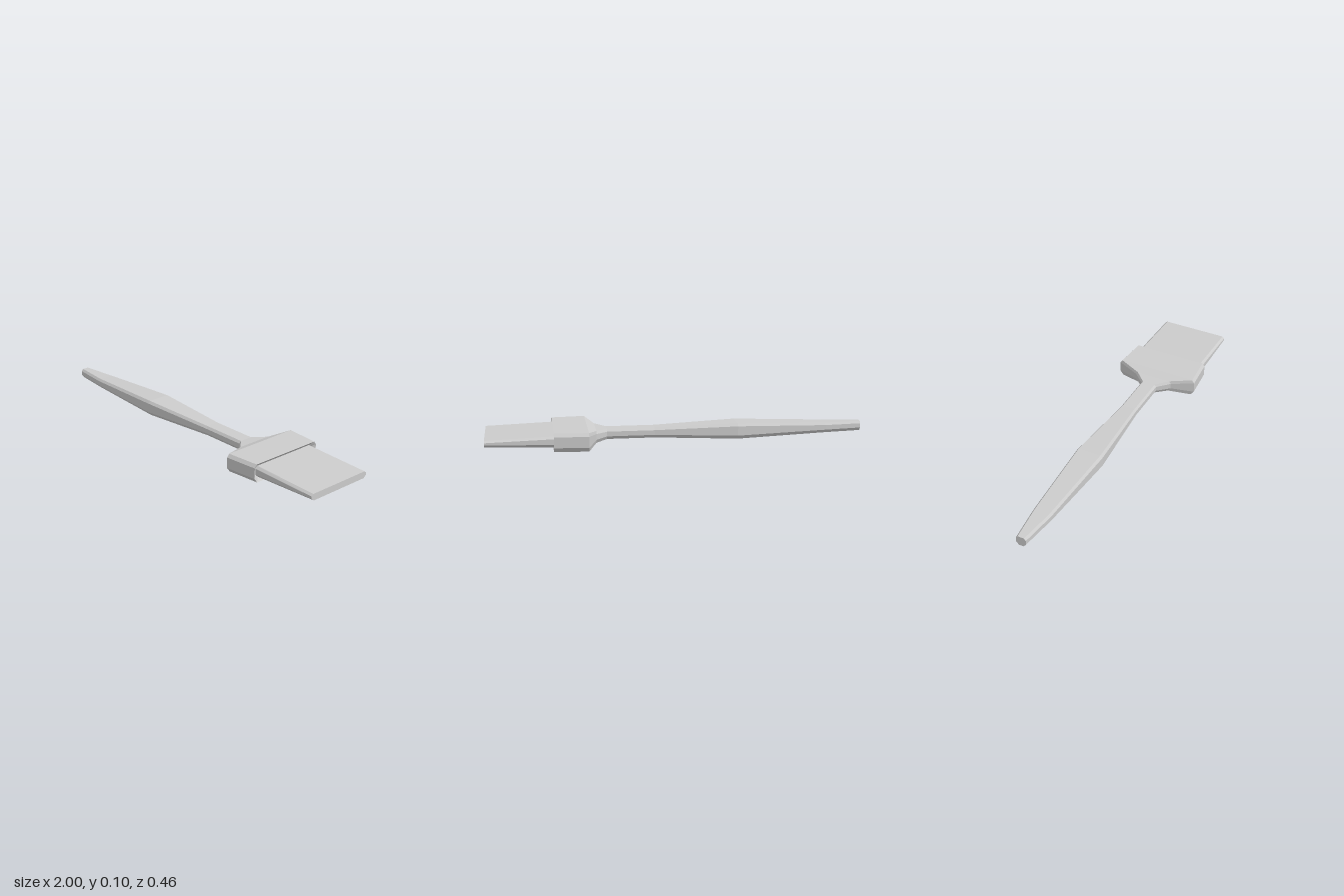
import * as THREE from 'three';

const CENTER_Y = 0.0485;

// Eight-cornered ring at x; the underside chamfer is a little larger than the top one
function ring([x, hz, hy, cz, cy]) {
  const low = 1.4;
  const side = [
    [hz - cz * low, -hy], [hz, -hy + cy * low],
    [hz, hy - cy], [hz - cz, hy],
  ];
  const right = side.map(([z, y]) => new THREE.Vector3(x, CENTER_Y + y, -z));
  const left = side.map(([z, y]) => new THREE.Vector3(x, CENTER_Y + y, z)).reverse();
  return [...right, ...left];
}

// Skins a row of rings, with flat caps at both ends
function loft(name, sections, material) {
  const rings = sections.map(ring);
  const points = [];
  const tri = (a, b, c) => points.push(a, b, c);
  for (let s = 0; s < rings.length - 1; s++) {
    const p = rings[s], q = rings[s + 1];
    for (let i = 0; i < 8; i++) {
      const j = (i + 1) % 8;
      tri(p[i], p[j], q[j]);
      tri(p[i], q[j], q[i]);
    }
  }
  const first = rings[0], last = rings[rings.length - 1];
  for (let i = 1; i < 7; i++) {
    tri(first[0], first[i + 1], first[i]);
    tri(last[0], last[i], last[i + 1]);
  }
  const geometry = new THREE.BufferGeometry().setFromPoints(points);
  geometry.computeVertexNormals();
  const mesh = new THREE.Mesh(geometry, material);
  mesh.name = name;
  return mesh;
}

export function createModel() {
  const group = new THREE.Group();
  group.name = 'flatBrush';
  const material = new THREE.MeshStandardMaterial({ color: 0xcccccc, flatShading: true });

  // Each section: x, half width, half thickness, chamfer in z, chamfer in y

  // Swelling handle that narrows to a neck
  group.add(loft('handle', [
    [-1, 0.027, 0.026, 0.010, 0.012],
    [-0.8, 0.05, 0.027, 0.010, 0.012],
    [-0.32, 0.073, 0.042, 0.011, 0.014],
    [0.12, 0.045, 0.027, 0.010, 0.012],
    [0.37, 0.045, 0.027, 0.010, 0.012],
  ], material));

  // Flared head, ending in a shallow bevelled socket
  group.add(loft('head', [
    [0.37, 0.045, 0.027, 0.010, 0.012],
    [0.43, 0.107, 0.032, 0.011, 0.014],
    [0.475, 0.228, 0.0485, 0.013, 0.017],
    [0.652, 0.213, 0.0485, 0.013, 0.017],
    [0.635, 0.193, 0.030, 0.012, 0.012],
  ], material));

  // Tapered bristle block
  group.add(loft('bristles', [
    [0.63, 0.192, 0.030, 0.012, 0.012],
    [1, 0.19, 0.0175, 0.012, 0.010],
  ], material));

  return group;
}
